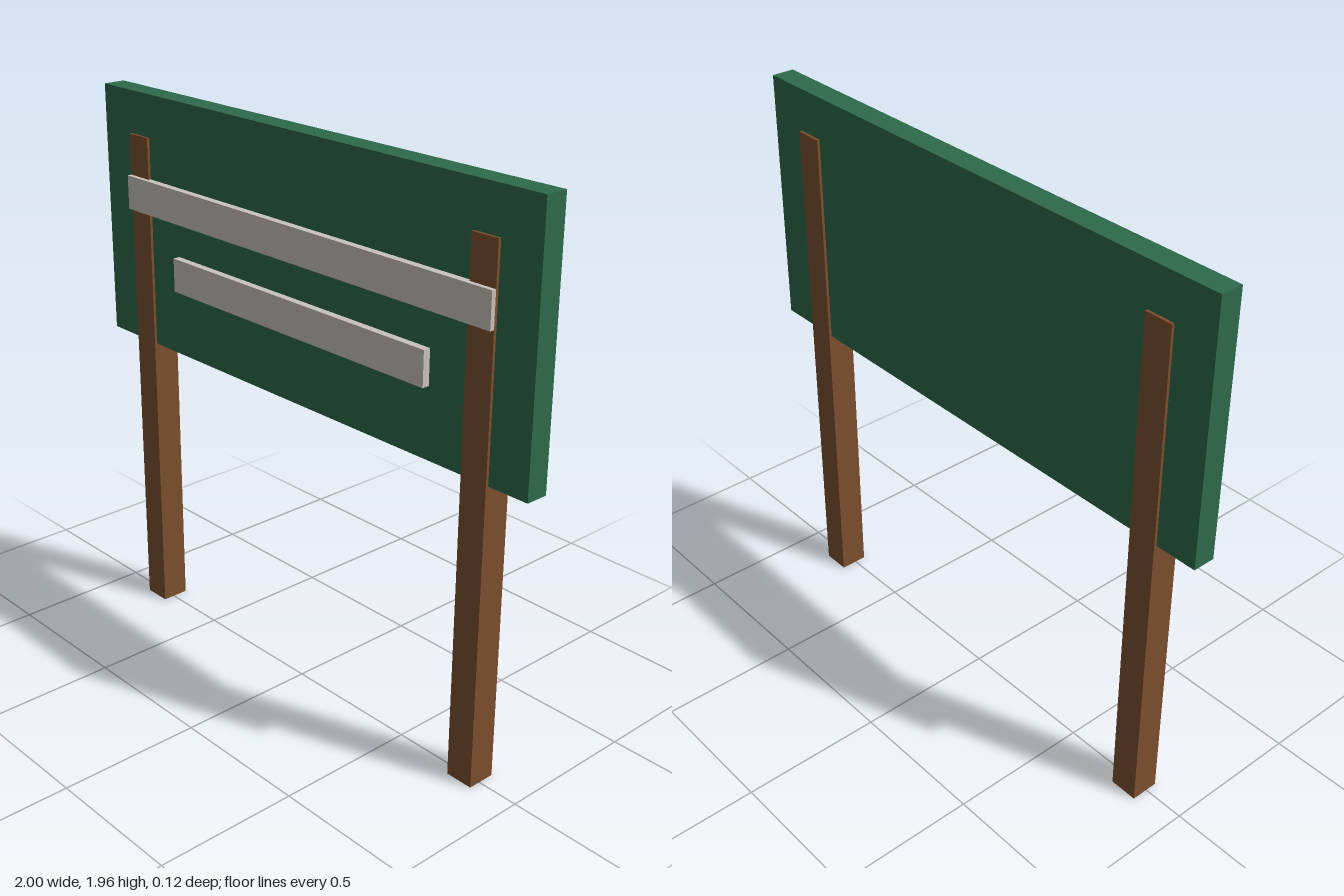
import * as THREE from 'three';

export function createModel() {
  const group = new THREE.Group();
  group.name = 'signboard';

  const material = (name, color) => {
    const m = new THREE.MeshStandardMaterial({ color });
    m.name = name;
    return m;
  };
  const green = material('green paint', 0x2d6a4a);
  const wood = material('brown wood', 0x7b4f2d);
  const pale = material('pale grey', 0xc8c3bb);

  // Box given by its centre x, its y range and its z range
  const box = (name, mat, width, x, [y0, y1], [z0, z1]) => {
    const mesh = new THREE.Mesh(new THREE.BoxGeometry(width, y1 - y0, z1 - z0), mat);
    mesh.name = name;
    mesh.position.set(x, (y0 + y1) / 2, (z0 + z1) / 2);
    group.add(mesh);
  };

  // Posts run through the panel and stand slightly proud on both faces
  for (const [name, side] of [['leftPost', 1], ['rightPost', -1]]) {
    box(name, wood, 0.1, side * 0.8, [0, 1.805], [-0.058, 0.042]);
  }

  // Panel
  box('panel', green, 2, 0, [1.055, 1.955], [-0.048, 0.032]);

  // Raised strips on the front
  box('upperStrip', pale, 1.7, 0, [1.54, 1.66], [0.028, 0.058]);
  box('lowerStrip', pale, 1.2, 0, [1.295, 1.415], [0.028, 0.058]);

  return group;
}
